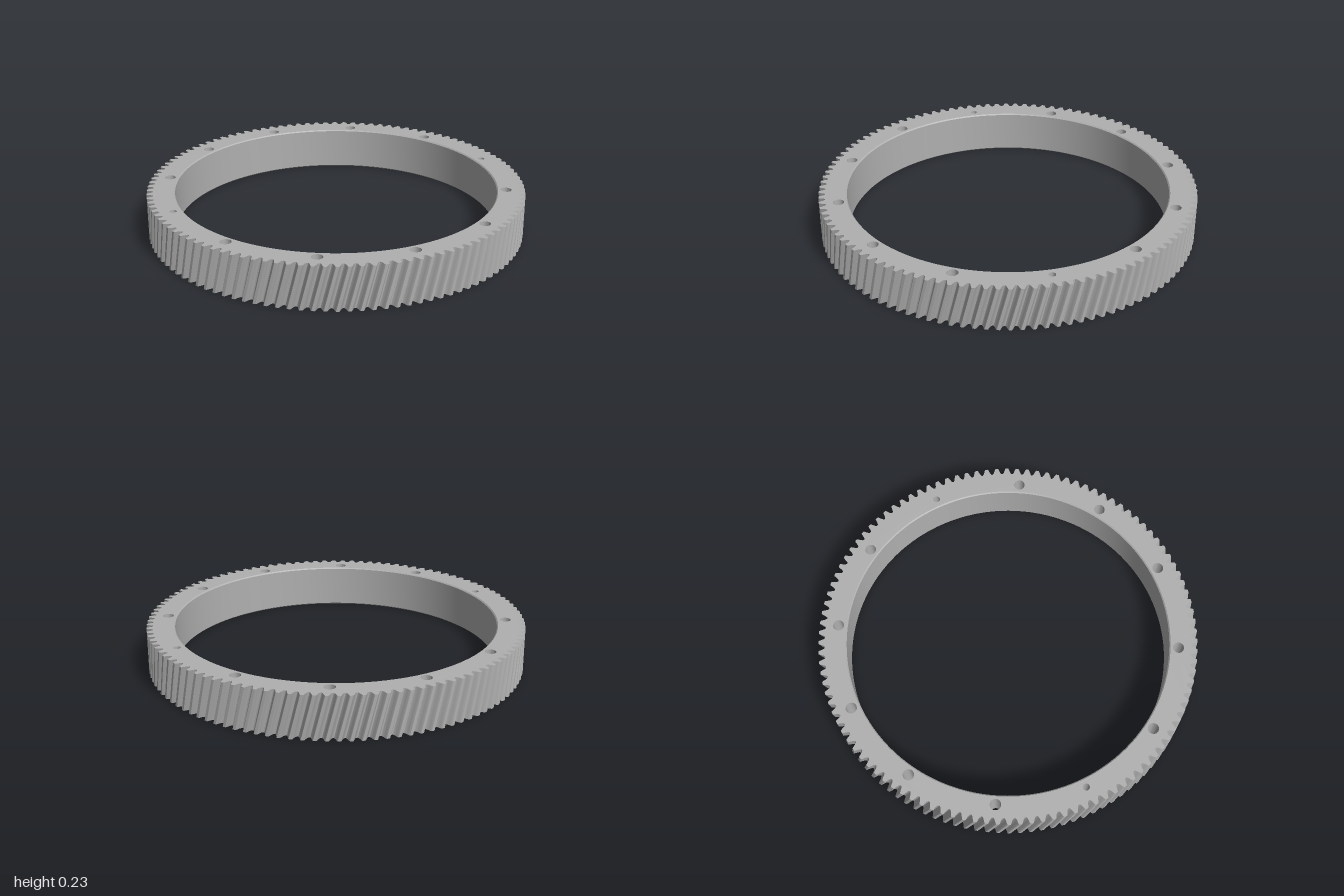
import * as THREE from 'three';
import { toCreasedNormals } from 'three/addons/utils/BufferGeometryUtils.js';

const H = 0.23, TEETH = 110, PITCH = (Math.PI * 2) / TEETH;
const BORE = 0.852, CHAMFER = 0.006, BOLT_R = 0.9;
const HOLE = 0.029, PIN = 0.018, SINK = 0.015;
const BORE_SEGS = 128, HOLE_SEGS = 24;

// one tooth: [radius, fraction of the pitch], symmetric about 0
const TOOTH = [[0.966, -0.44], [0.973, -0.33], [0.985, -0.25], [0.997, -0.17], [1, -0.13],
  [1, 0.13], [0.997, 0.17], [0.985, 0.25], [0.973, 0.33], [0.966, 0.44]];

function gearOutline() {
  const pts = [];
  for (let i = 0; i < TEETH; i++)
    for (const [r, f] of TOOTH) pts.push([r, (i + f) * PITCH]);
  return pts;
}

function circle(cx, cy, r, n) {
  return Array.from({ length: n }, (_, i) => {
    const a = (i / n) * Math.PI * 2;
    return new THREE.Vector2(cx + r * Math.cos(a), cy + r * Math.sin(a));
  });
}

// the two dowel holes sit at 30 and 210 degrees
const bolts = Array.from({ length: 12 }, (_, i) => {
  const a = (i * Math.PI) / 6;
  return { x: BOLT_R * Math.cos(a), z: BOLT_R * Math.sin(a), pin: i % 6 === 1 };
});

// flat end face with bore and holes
function endFace(isTop) {
  const shape = new THREE.Shape(gearOutline().map(([r, a]) =>
    new THREE.Vector2(r * Math.cos(a), r * Math.sin(a))));
  const holes = [circle(0, 0, BORE + CHAMFER, BORE_SEGS)];
  for (const b of bolts)
    holes.push(circle(b.x, isTop ? -b.z : b.z, isTop && b.pin ? PIN : HOLE, HOLE_SEGS));
  shape.holes = holes.map((p) => new THREE.Path(p));
  const g = new THREE.ShapeGeometry(shape);
  g.rotateX(isTop ? -Math.PI / 2 : Math.PI / 2);
  return g.translate(0, isTop ? H : 0, 0);
}

// helical tooth wall: advances exactly one pitch from bottom to top
function toothWall(levels) {
  const outline = gearOutline(), pos = [];
  const at = (i, j) => {
    const [r, a0] = outline[i % outline.length];
    const a = a0 - (PITCH * j) / levels;
    return [r * Math.cos(a), (H * j) / levels, r * Math.sin(a)];
  };
  for (let i = 0; i < outline.length; i++)
    for (let j = 0; j < levels; j++) {
      const a = at(i, j), b = at(i, j + 1), c = at(i + 1, j + 1), d = at(i + 1, j);
      pos.push(...a, ...b, ...c, ...a, ...c, ...d);
    }
  const g = new THREE.BufferGeometry();
  g.setAttribute('position', new THREE.Float32BufferAttribute(pos, 3));
  g.computeVertexNormals();
  return toCreasedNormals(g, 0.45);
}

// inward-facing turned surface, profile listed from top to bottom
function turned(profile, segs) {
  const g = new THREE.LatheGeometry(profile.map(([r, y]) => new THREE.Vector2(r, y)), segs);
  return toCreasedNormals(g, 0.5);
}

export function createModel() {
  const group = new THREE.Group();
  const steel = new THREE.MeshStandardMaterial({ color: 0xb0b0b0 });
  steel.name = 'steel grey';
  const add = (name, geometry, x = 0, z = 0) => {
    const m = new THREE.Mesh(geometry, steel);
    m.name = name;
    m.position.set(x, 0, z);
    group.add(m);
  };

  add('topFace', endFace(true));
  add('bottomFace', endFace(false));
  add('helicalTeeth', toothWall(4));

  // bore with a small chamfer at both ends
  add('bore', turned([[BORE + CHAMFER, H], [BORE, H - CHAMFER],
    [BORE, CHAMFER], [BORE + CHAMFER, 0]], BORE_SEGS));

  // bolt holes, and dowel holes with a shallow wider recess below
  const boltGeo = turned([[HOLE, H], [HOLE, 0]], HOLE_SEGS);
  const pinGeo = turned([[PIN, H], [PIN, SINK], [HOLE, SINK], [HOLE, 0]], HOLE_SEGS);
  for (const b of bolts)
    add(b.pin ? 'dowelHole' : 'boltHole', b.pin ? pinGeo : boltGeo, b.x, b.z);

  return group;
}
